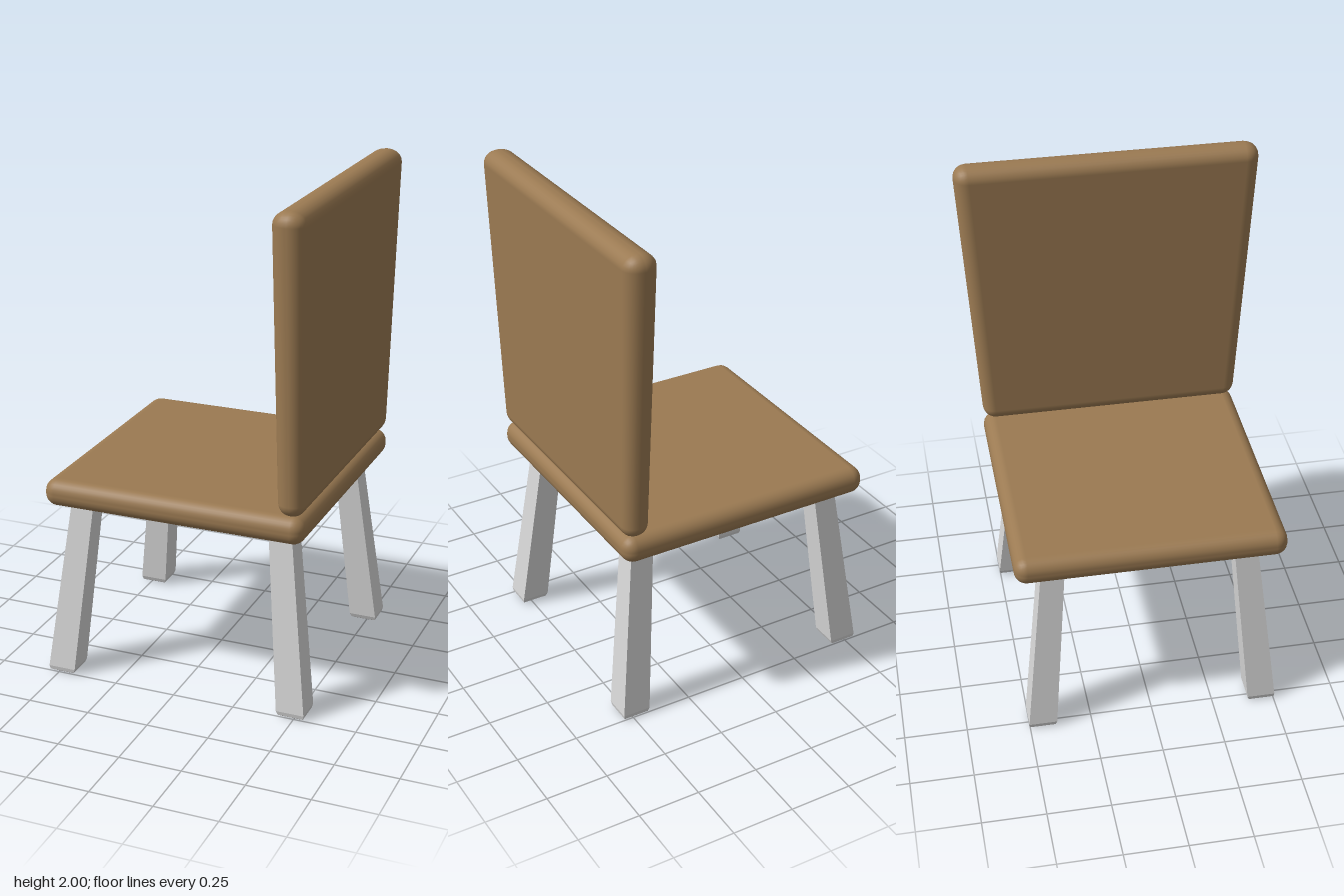
import * as THREE from 'three';
import { RoundedBoxGeometry } from 'three/addons/geometries/RoundedBoxGeometry.js';

// Apply a rule to every vertex of a geometry
function reshape(geometry, rule) {
  const p = geometry.attributes.position;
  const v = new THREE.Vector3();
  for (let i = 0; i < p.count; i++) {
    rule(v.fromBufferAttribute(p, i));
    p.setXYZ(i, v.x, v.y, v.z);
  }
  return geometry;
}

// Square leg, splayed outward, widening downward, with a rounded foot
function legGeometry(sx, sz) {
  const levels = [0.003, 0.01, 0.026, 0.76];
  const insets = [0.016, 0.005, 0, 0];
  const geometry = reshape(new THREE.BoxGeometry(1, 3, 1, 1, 3, 1), v => {
    const i = Math.round(v.y + 1.5);
    const y = levels[i];
    const t = y / 0.73;
    const width = THREE.MathUtils.lerp(0.113, 0.093, t) - 2 * insets[i];
    v.x = sx * THREE.MathUtils.lerp(0.488, 0.41, t) + v.x * width;
    v.z = sz * THREE.MathUtils.lerp(0.45, 0.38, t) + v.z * width;
    v.y = y;
  }).toNonIndexed();
  geometry.computeVertexNormals();
  return geometry;
}

export function createModel() {
  const model = new THREE.Group();
  model.name = 'chair';
  const wood = new THREE.MeshStandardMaterial({ color: 0x9b7a52 });
  wood.name = 'brown wood';
  const metal = new THREE.MeshStandardMaterial({ color: 0xd8d8d8 });
  metal.name = 'light grey';

  const add = (name, geometry, material) => {
    const mesh = new THREE.Mesh(geometry, material);
    mesh.name = name;
    model.add(mesh);
    return mesh;
  };

  // Seat slab with rounded edges
  add('seat', new RoundedBoxGeometry(1.065, 0.11, 1.065, 3, 0.05), wood).position.set(0, 0.785, 0);

  // Backrest, wider and thicker toward the top
  const back = reshape(new RoundedBoxGeometry(0.105, 1.16, 1.06, 3, 0.05), v => {
    const t = v.y / 1.16 + 0.5;
    v.x *= 1 + 0.24 * t;
    v.z *= 1 + 0.136 * t;
  });
  add('backrest', back, wood).position.set(0.477, 1.42, 0);

  // Four splayed legs
  for (const sx of [-1, 1]) {
    for (const sz of [-1, 1]) {
      add((sx < 0 ? 'front' : 'back') + (sz < 0 ? 'Right' : 'Left') + 'Leg', legGeometry(sx, sz), metal);
    }
  }
  return model;
}
